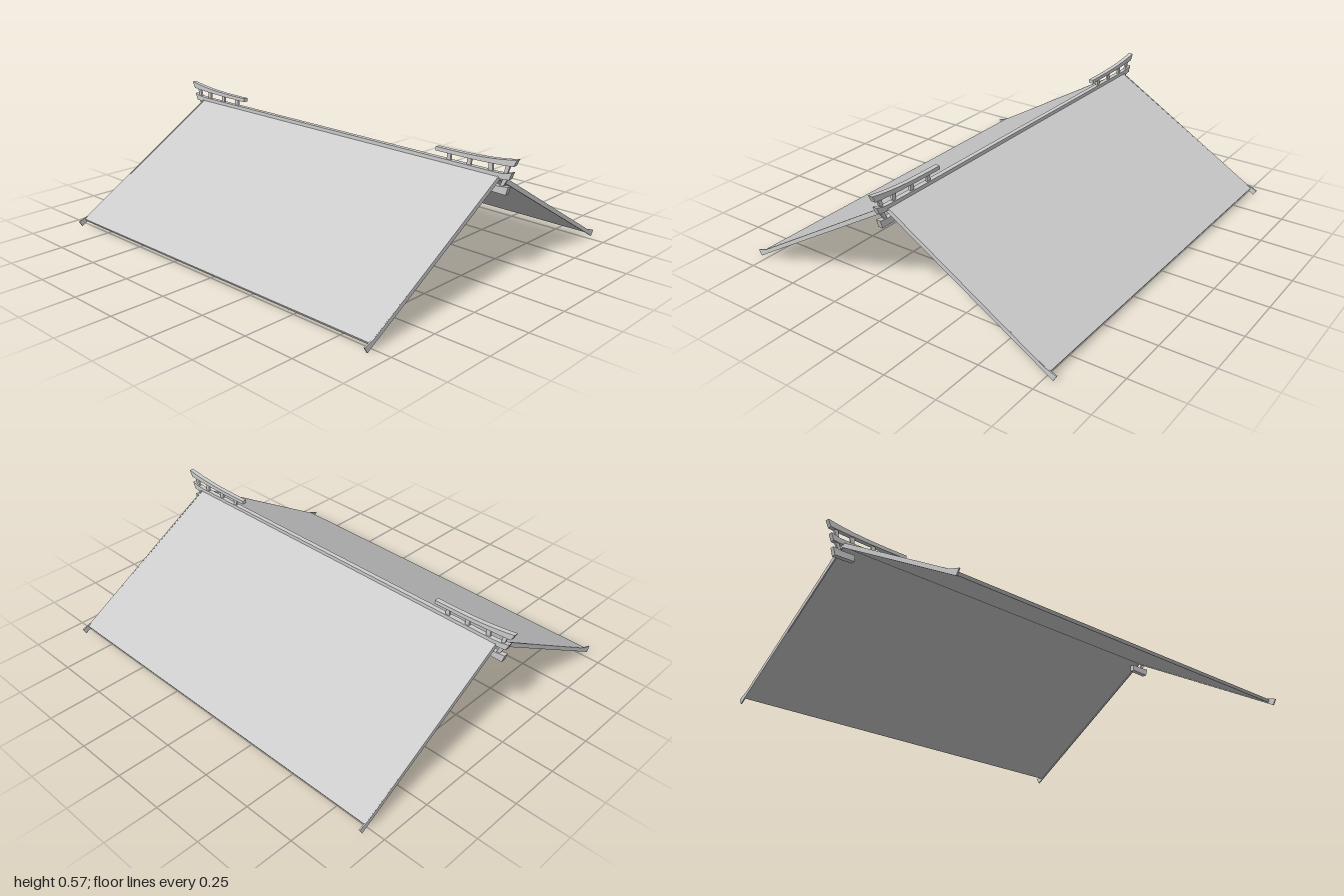
import * as THREE from 'three';

const material = new THREE.MeshStandardMaterial({ color: 0xcccccc, flatShading: true });

// Extrudes a closed outline to a given depth, centred on the extrusion axis.
function slab(name, points, depth) {
  const shape = new THREE.Shape(points.map(([x, y]) => new THREE.Vector2(x, y)));
  const geometry = new THREE.ExtrudeGeometry(shape, { depth, bevelEnabled: false });
  geometry.translate(0, 0, -depth / 2);
  const mesh = new THREE.Mesh(geometry, material);
  mesh.name = name;
  return mesh;
}

// Mirrors half of a gable profile (apex first and last) into a full chevron.
const chevron = (half) => [...half, ...half.slice(1, -1).reverse().map(([z, y]) => [-z, y])];

// Outline running across z, extruded along x.
function crossSlab(name, half, width, x) {
  const mesh = slab(name, chevronOrder(half), width);
  mesh.rotation.y = -Math.PI / 2;
  mesh.position.x = x;
  return mesh;
}

// Goes down the upper edge on one side, back along the underside, then up the other.
const chevronOrder = (half) => chevron(half);

// Ridge ornament for the +x end, or its mirror image for the -x end.
function ridgeOrnament(name, side) {
  const group = new THREE.Group();
  group.name = name;
  const add = (part, points, depth) => {
    group.add(slab(part, points.map(([x, y]) => [x * side, y]), depth));
  };

  // Upswept top rail
  const top = [], bottom = [];
  for (let i = 0; i <= 10; i++) {
    const t = i / 10;
    top.push([0.6 + 0.4 * t, 0.543 + 0.025 * t ** 3]);
    bottom.push([0.6 + 0.385 * t, 0.526 + 0.011 * t ** 3]);
  }
  add('topRail', [...top, ...bottom.reverse()], 0.022);

  // Upright posts between ridge and rail
  for (const x of [0.665, 0.767, 0.873]) {
    add('railPost', [[x - 0.01, 0.49], [x + 0.01, 0.49], [x + 0.01, 0.53], [x - 0.01, 0.53]], 0.01);
  }

  // Upturned ridge end
  add('ridgeEnd', [[0.9, 0.498], [0.94, 0.5], [0.98, 0.51], [0.967, 0.478], [0.94, 0.475], [0.9, 0.475]], 0.022);

  // Leaning struts above and below the ridge end
  add('upperStrut', [[0.937, 0.495], [0.952, 0.495], [0.965, 0.535], [0.945, 0.535]], 0.01);
  add('lowerStrut', [[0.92, 0.44], [0.935, 0.44], [0.958, 0.48], [0.938, 0.48]], 0.01);

  // Hanging block under the gable
  add('hangingBlock', [[0.86, 0.445], [0.92, 0.443], [0.966, 0.448], [0.955, 0.412], [0.92, 0.413], [0.86, 0.415]], 0.022);
  return group;
}

export function createModel() {
  const model = new THREE.Group();
  model.name = 'gableRoof';

  // Two thin sloping roof panels
  const panel = [[0, 0.488], [0.768, 0.032], [0.761, 0.02], [0, 0.472]];
  model.add(crossSlab('roofPanels', panel, 1.83, 0));

  // Edge boards with flared feet
  const board = [[0, 0.49], [0.745, 0.045], [0.8, 0.026], [0.785, 0], [0.735, 0.03], [0, 0.466]];
  for (const side of [1, -1]) {
    model.add(crossSlab(side > 0 ? 'leftEdgeBoard' : 'rightEdgeBoard', board, 0.006, side * 0.915));
  }

  // Ridge beam along the top
  const ridge = new THREE.Mesh(new THREE.BoxGeometry(1.84, 0.023, 0.022), material);
  ridge.name = 'ridgeBeam';
  ridge.position.y = 0.4865;
  model.add(ridge);

  model.add(ridgeOrnament('leftRidgeOrnament', 1), ridgeOrnament('rightRidgeOrnament', -1));
  return model;
}
